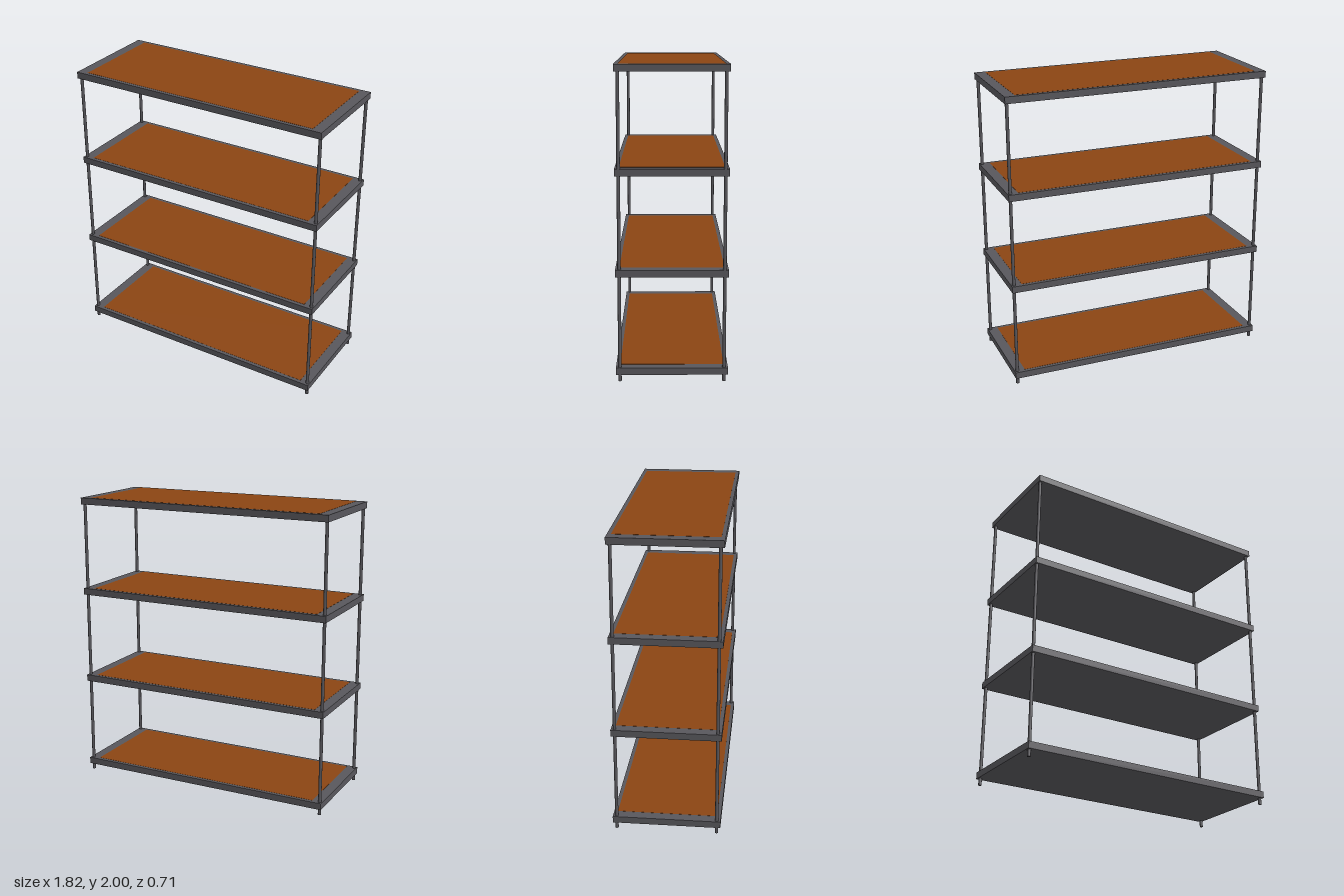
import * as THREE from 'three';

export function createModel() {
  const group = new THREE.Group();
  group.name = 'shelvingUnit';
  const metal = new THREE.MeshStandardMaterial({ color: 0x58575c });
  const wood = new THREE.MeshStandardMaterial({ color: 0x8b4513 });

  const add = (name, geometry, material, x, y, z) => {
    const mesh = new THREE.Mesh(geometry, material);
    mesh.name = name;
    mesh.position.set(x, y, z);
    group.add(mesh);
  };

  const thick = 0.045;
  const trayGeo = new THREE.BoxGeometry(1.82, thick, 0.71);
  const panelGeo = new THREE.BoxGeometry(1.68, 0.01, 0.66);
  const postGeo = new THREE.CylinderGeometry(0.011, 0.011, 1.99, 16);

  // Four evenly spaced metal trays, each with a wooden panel set into its top
  for (let i = 0; i < 4; i++) {
    const top = 0.09 + i * 0.6363;
    add('shelfTray', trayGeo, metal, 0, top - thick / 2, 0);
    add('shelfPanel', panelGeo, wood, 0, top - 0.004, 0);
  }

  // Round corner posts, running from the floor up into the top tray
  for (const x of [-0.893, 0.893])
    for (const z of [-0.33, 0.33]) add('cornerPost', postGeo, metal, x, 0.995, z);

  return group;
}
